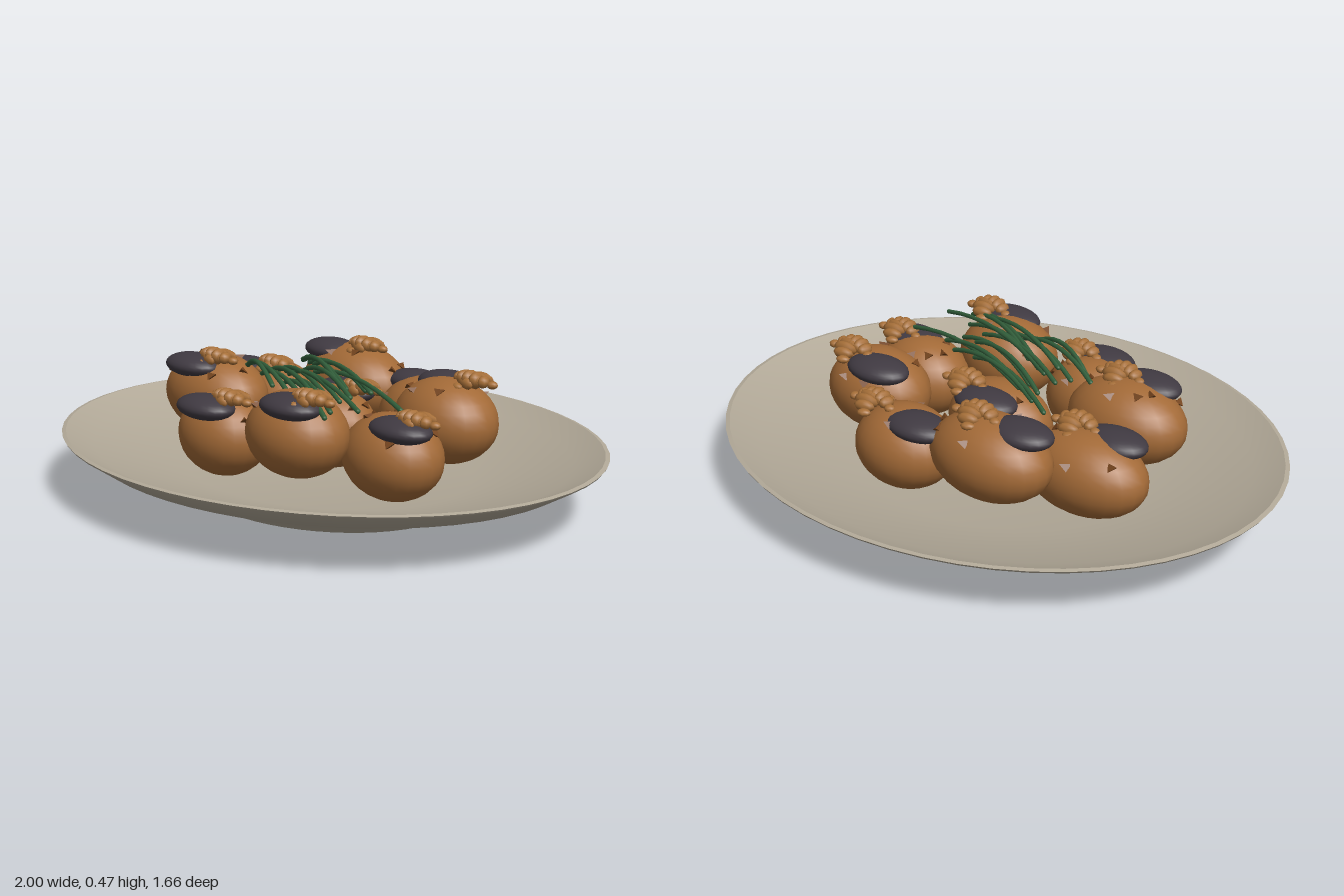
import * as THREE from 'three';
import { toCreasedNormals } from 'three/addons/utils/BufferGeometryUtils.js';

const mat = (name, color) => {
  const m = new THREE.MeshStandardMaterial({ color });
  m.name = name;
  return m;
};

// Ball centre x, centre y, centre z, radius x, radius z, cap x, cap z, flake x, flake z
const HIGH = 0.295, LOW = 0.23;
const BALLS = [
  [-0.21, HIGH, -0.31, 0.22, 0.15, -0.31, -0.29, -0.16, -0.32],
  [0.13, LOW, -0.33, 0.18, 0.148, 0.05, -0.36, 0.24, -0.36],
  [0.39, HIGH, -0.165, 0.19, 0.15, 0.34, -0.225, 0.47, -0.21],
  [0.43, LOW, 0.105, 0.18, 0.145, 0.5, 0.14, 0.54, 0.11],
  [0.205, HIGH, 0.305, 0.185, 0.15, 0.25, 0.37, 0.32, 0.34],
  [-0.145, LOW, 0.325, 0.17, 0.14, -0.13, 0.41, -0.06, 0.36],
  [-0.4, HIGH, 0.16, 0.215, 0.15, -0.43, 0.235, -0.35, 0.19],
  [-0.43, LOW, -0.11, 0.225, 0.145, -0.5, -0.055, -0.37, -0.08],
  [0, LOW, 0, 0.195, 0.14, -0.01, -0.09, 0.1, -0.06],
];

export function createModel() {
  const ceramic = mat('ceramic', 0xb2a998);
  const crust = mat('crust', 0xa36a37);
  const sauce = mat('dark sauce', 0x403a42);
  const flake = mat('flake', 0xa66f38);
  const crumb = mat('crumb', 0x75451f);
  const green = mat('chive', 0x33603c);

  const model = new THREE.Group();
  model.name = 'plateOfDumplings';
  const add = (parent, name, geo, material, pos = [0, 0, 0], scale = [1, 1, 1]) => {
    const mesh = new THREE.Mesh(geo, material);
    mesh.name = name;
    mesh.position.set(...pos);
    mesh.scale.set(...scale);
    parent.add(mesh);
    return mesh;
  };

  // Oval plate with a flat foot, flared wall and sunken well
  const profile = [
    [0, 0], [0.49, 0], [0.55, 0.04], [0.89, 0.135], [0.995, 0.195], [1, 0.202],
    [0.985, 0.205], [0.88, 0.162], [0.53, 0.085], [0, 0.08],
  ].map(([x, y]) => new THREE.Vector2(x, y));
  const plate = new THREE.LatheGeometry(profile, 56);
  plate.scale(1, 1, 0.83);
  add(model, 'plate', toCreasedNormals(plate, 0.45), ceramic);

  const sphere = new THREE.SphereGeometry(1, 24, 16);
  const lobe = new THREE.SphereGeometry(1, 8, 6);
  const chip = new THREE.TetrahedronGeometry(0.024);
  const RY = 0.14;

  BALLS.forEach(([x, y, z, rx, rz, capX, capZ, fx, fz], i) => {
    const group = new THREE.Group();
    group.name = 'dumpling' + (i + 1);
    model.add(group);
    add(group, 'ball', sphere, crust, [x, y, z], [rx, RY, rz]);
    add(group, 'sauceCap', sphere, sauce, [capX, y + 0.105, capZ], [0.118, 0.04, 0.08]);

    // Two crossing curls of overlapping tapered lobes
    const curls = new THREE.Group();
    curls.name = 'flakeCurls';
    curls.position.set(fx, y + 0.135, fz);
    group.add(curls);
    for (let k = -3; k <= 3; k++) {
      const t = k / 3, w = 1 - 0.5 * t * t;
      add(curls, 'flakeLobe', lobe, flake, [0.015 - 0.03 * t * t, 0.008 - 0.02 * t * t, t * 0.062],
        [0.048 * w, 0.026 * w, 0.017]).rotation.y = -0.4 * t;
      add(curls, 'flakeLobe', lobe, flake, [t * 0.075, 0.014 - 0.015 * t * t, 0.02 - 0.025 * t * t],
        [0.019, 0.026 * w, 0.036 * w]).rotation.y = 0.4 * t;
    }

    // Crumbs scattered over the upper crust
    for (let k = 0; k < 7; k++) {
      const a = k * 2.4 + i * 1.3, e = 0.55 + 0.13 * ((k * 3 + i) % 5);
      add(group, 'crumb', chip, crumb, [
        x + rx * Math.cos(e) * Math.cos(a), y + RY * Math.sin(e), z + rz * Math.cos(e) * Math.sin(a),
      ], [1, 0.7, 1]).rotation.y = a;
    }
  });

  // Two loose bundles of arched chives: start x, z, end x, z
  const chives = new THREE.Group();
  chives.name = 'chives';
  model.add(chives);
  [
    [-0.27, -0.12, 0.16, 0.06], [-0.2, -0.09, 0.24, 0.05], [-0.14, -0.06, 0.3, 0.08],
    [-0.2, -0.06, 0.2, 0.12], [-0.1, -0.03, 0.48, 0.12], [-0.12, 0, 0.28, 0.15],
    [-0.28, 0.12, 0.1, 0.26], [-0.25, 0.14, 0.04, 0.27], [-0.2, 0.12, 0.22, 0.28],
    [-0.18, 0.06, 0.24, 0.21], [-0.12, 0.08, 0.45, 0.27], [-0.14, 0.13, 0.3, 0.3],
    [-0.05, 0.14, 0.4, 0.36], [0.0, 0.15, 0.38, 0.32], [-0.08, 0.1, 0.32, 0.23],
  ].forEach(([x0, z0, x1, z1], i) => {
    const h = 0.43 + 0.008 * (i % 4), mx = (x0 + x1) / 2, mz = (z0 + z1) / 2 + 0.015;
    const curve = new THREE.QuadraticBezierCurve3(
      new THREE.Vector3(x0, h - 0.04, z0),
      new THREE.Vector3(mx, h + 0.045, mz),
      new THREE.Vector3(x1, h - 0.04, z1));
    add(chives, 'chive', new THREE.TubeGeometry(curve, 8, 0.008, 6), green);
    for (const t of [0, 1]) add(chives, 'chiveEnd', lobe, green, curve.getPoint(t).toArray(), [0.008, 0.008, 0.008]);
  });

  return model;
}
